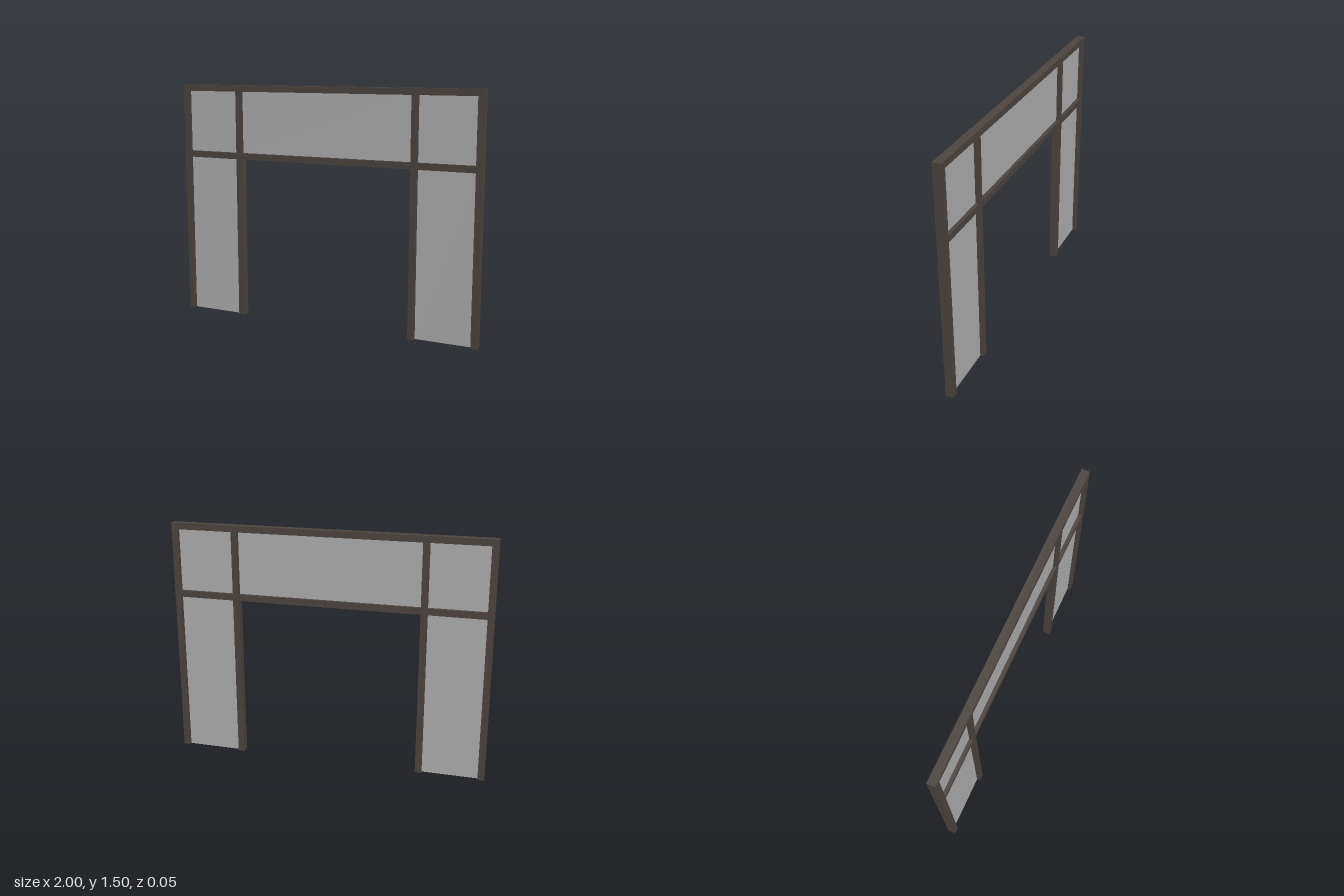
import * as THREE from 'three';

const BAR = 0.04;      // face width of every frame bar
const DEPTH = 0.05;    // frame depth
const GLASS = 0.006;   // pane thickness
const WIDTH = 2, HEIGHT = 1.5;
const INNER = 0.57;    // half width of the doorway
const RAIL = 1.03;     // underside of the transom rail

export function createModel() {
  const model = new THREE.Group();
  model.name = 'doorSurround';
  const frameMat = new THREE.MeshStandardMaterial({ color: 0x4d4540 });
  const glassMat = new THREE.MeshStandardMaterial({ color: 0xb0b0b0 });

  // Box given by its extents in x and y, centred on z = 0
  const slab = (name, x0, x1, y0, y1, depth, material) => {
    const mesh = new THREE.Mesh(new THREE.BoxGeometry(x1 - x0, y1 - y0, depth), material);
    mesh.position.set((x0 + x1) / 2, (y0 + y1) / 2, 0);
    mesh.name = name;
    model.add(mesh);
  };
  const bar = (name, x0, x1, y0, y1) => slab(name, x0, x1, y0, y1, DEPTH, frameMat);
  const pane = (name, x0, x1, y0, y1) => slab(name, x0, x1, y0, y1, GLASS, glassMat);

  const edge = WIDTH / 2 - BAR;   // inside of the outer posts
  const post = INNER + BAR;       // outside of the inner posts
  const head = HEIGHT - BAR;      // underside of the head rail
  const sill = RAIL + BAR;        // top of the transom rail

  // Rails across the whole width
  bar('headRail', -WIDTH / 2, WIDTH / 2, head, HEIGHT);
  bar('transomRail', -edge, edge, RAIL, sill);

  // Posts and side panes, mirrored
  for (const [side, s] of [['left', 1], ['right', -1]]) {
    const span = (a, b) => (s > 0 ? [a, b] : [-b, -a]);
    bar(side + 'OuterPost', ...span(edge, WIDTH / 2), 0, head);
    bar(side + 'InnerPost', ...span(INNER, post), 0, RAIL);
    bar(side + 'UpperMullion', ...span(INNER, post), sill, head);
    pane(side + 'SidePane', ...span(post, edge), 0, RAIL);
    pane(side + 'UpperPane', ...span(post, edge), sill, head);
  }

  // Pane over the doorway
  pane('transomPane', -INNER, INNER, sill, head);

  return model;
}
